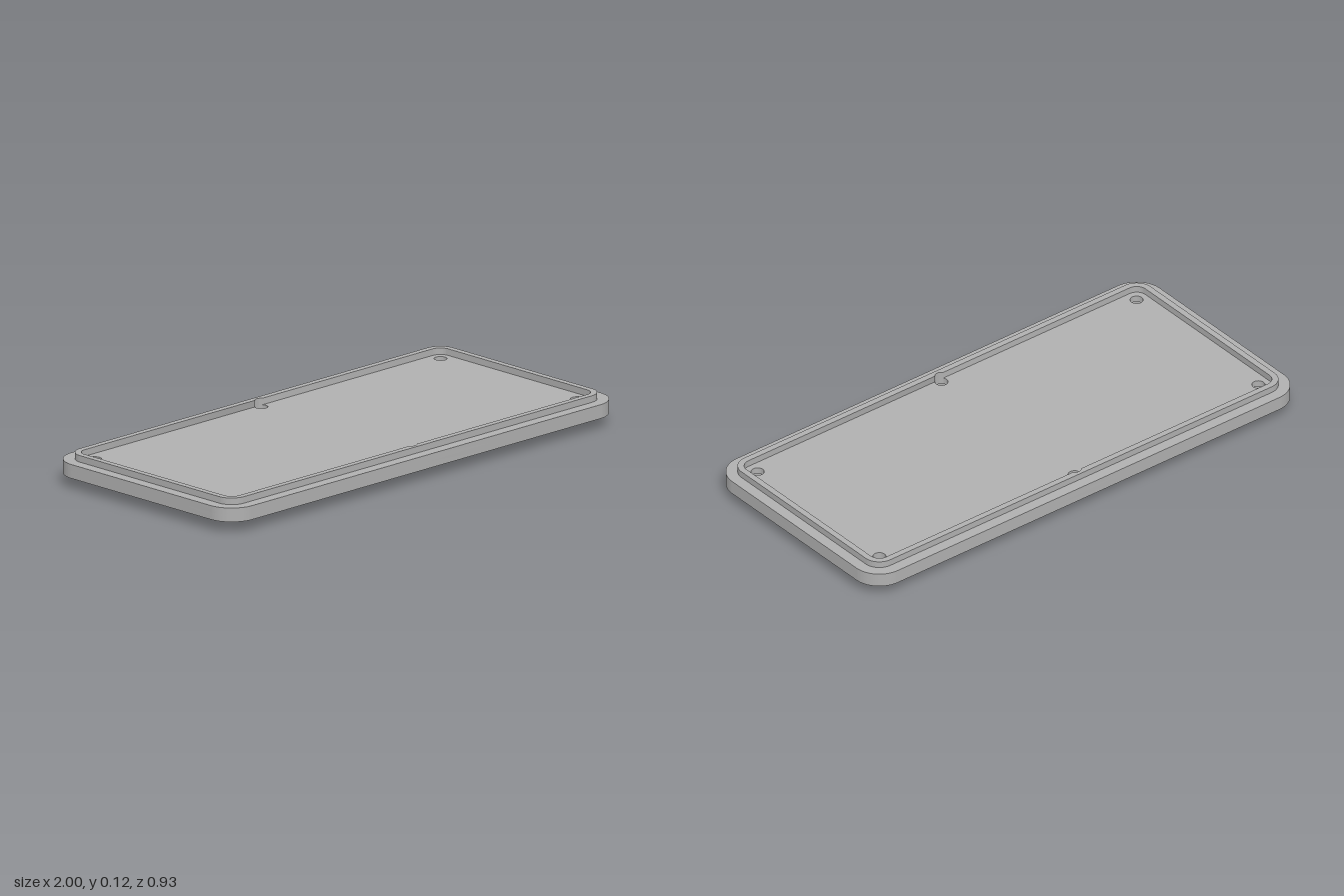
import * as THREE from 'three';
import { toCreasedNormals } from 'three/addons/utils/BufferGeometryUtils.js';

const PLATE_HOLES = [[0.887, 0.353], [-0.887, 0.353], [0.887, -0.353], [-0.887, -0.353], [0, 0.386], [0, -0.386]];
const PAD_HOLES = [[0.253, 0.203], [-0.253, 0.203], [0.253, -0.203], [-0.253, -0.203]];
const BOLT_R = 0.024;

// Rounded rectangle outline; notch cuts the middle holes into the long sides
function outline(path, w, d, r, notch = false) {
  const q = Math.PI / 2;
  const holeZ = 0.386;
  const a = Math.asin((d - holeZ) / BOLT_R);
  path.moveTo(w, -d + r);
  path.absarc(w - r, d - r, r, 0, q, false);
  if (notch) path.absarc(0, holeZ, BOLT_R, a, Math.PI - a, false);
  path.absarc(-w + r, d - r, r, q, 2 * q, false);
  path.absarc(-w + r, -d + r, r, 2 * q, 3 * q, false);
  if (notch) path.absarc(0, -holeZ, BOLT_R, Math.PI + a, 2 * Math.PI - a, false);
  path.absarc(w - r, -d + r, r, 3 * q, 4 * q, false);
  return path;
}

function circle([x, y], r) {
  return new THREE.Path().absarc(x, y, r, 0, Math.PI * 2, true);
}

export function createModel() {
  const group = new THREE.Group();
  const grey = new THREE.MeshStandardMaterial({ color: 0xb0b0b0 });
  grey.name = 'grey metal';

  // Extrude a flat shape upwards from y0 to y1
  function layer(name, shape, holes, y0, y1) {
    shape.holes.push(...holes);
    const raw = new THREE.ExtrudeGeometry(shape, { depth: y1 - y0, bevelEnabled: false, curveSegments: 14 });
    raw.rotateX(-Math.PI / 2);
    raw.translate(0, y0, 0);
    const mesh = new THREE.Mesh(toCreasedNormals(raw, 0.6), grey);
    mesh.name = name;
    group.add(mesh);
  }

  const plate = () => outline(new THREE.Shape(), 1, 0.467, 0.107);

  // Mounting pad with four blind holes
  layer('mountingPad', outline(new THREE.Shape(), 0.347, 0.293, 0.075),
    PAD_HOLES.map(p => circle(p, 0.033)), 0, 0.042);

  // Main plate: wide counterbores below, narrow bolt holes above
  layer('plateLower', plate(), PLATE_HOLES.map(p => circle(p, 0.034)), 0.042, 0.07);
  layer('plateUpper', plate(), PLATE_HOLES.map(p => circle(p, BOLT_R)), 0.07, 0.095);

  // Raised locating rim, relieved around the two middle holes
  layer('rim', outline(new THREE.Shape(), 0.957, 0.424, 0.064),
    [outline(new THREE.Path(), 0.933, 0.4, 0.04, true)], 0.095, 0.12);

  return group;
}
